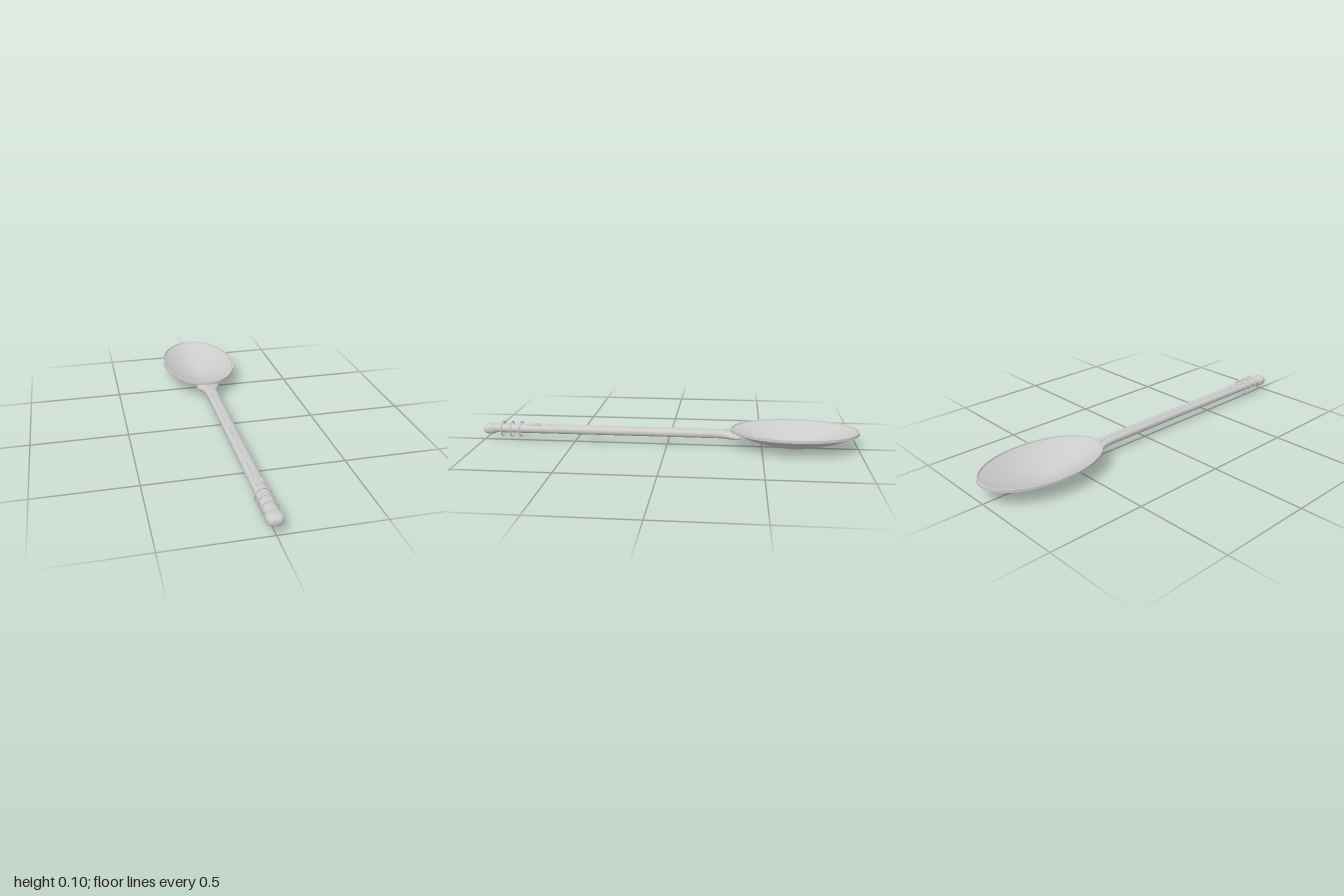
import * as THREE from 'three';
import { toCreasedNormals } from 'three/addons/utils/BufferGeometryUtils.js';

const material = new THREE.MeshStandardMaterial({ color: 0xcccccc });

// Closed body along z from superellipse sections [z, halfWidth, halfHeight, centreY]
function loft(sections, power = 1, sides = 32) {
  const positions = [], index = [];
  const bend = v => Math.sign(v) * Math.abs(v) ** power;
  sections.forEach(([z, rx, ry, cy], i) => {
    for (let j = 0; j < sides; j++) {
      const a = (j / sides) * Math.PI * 2;
      positions.push(rx * bend(Math.cos(a)), cy + ry * bend(Math.sin(a)), z);
      if (i === sections.length - 1) continue;
      const p = i * sides + j, q = i * sides + (j + 1) % sides;
      index.push(p, q, q + sides, p, q + sides, p + sides);
    }
  });
  const geometry = new THREE.BufferGeometry();
  geometry.setAttribute('position', new THREE.Float32BufferAttribute(positions, 3));
  geometry.setIndex(index);
  geometry.computeVertexNormals();
  return geometry;
}

export function createModel() {
  const group = new THREE.Group();
  const add = (name, geometry, x = 0, y = 0, z = 0, parent = group) => {
    const mesh = new THREE.Mesh(geometry, material);
    mesh.name = name;
    mesh.position.set(x, y, z);
    parent.add(mesh);
    return mesh;
  };

  // Oval bowl: outer curve, upright rim, then inner curve
  const profile = [];
  const steps = 20;
  for (let i = 0; i <= steps; i++) {
    const t = i / steps;
    profile.push(new THREE.Vector2(t, 0.086 * t ** 1.7));
  }
  profile.push(new THREE.Vector2(1, 0.1), new THREE.Vector2(0.975, 0.1));
  for (let i = steps; i >= 0; i--) {
    const t = i / steps;
    profile.push(new THREE.Vector2(t * 0.965, 0.013 + 0.08 * t ** 1.7));
  }
  const bowl = new THREE.LatheGeometry(profile, 72);
  bowl.scale(0.207, 1, 0.333);
  add('bowl', toCreasedNormals(bowl, 0.6), 0, 0, -0.667);

  // Oval handle, flaring into a neck under the bowl
  add('handle', loft([
    [-0.392, 0, 0, 0.057],
    [-0.391, 0.055, 0.009, 0.057],
    [-0.38, 0.065, 0.016, 0.059],
    [-0.36, 0.062, 0.019, 0.06],
    [-0.335, 0.051, 0.02, 0.061],
    [-0.31, 0.041, 0.021, 0.063],
    [-0.28, 0.035, 0.022, 0.065],
    [-0.24, 0.033, 0.022, 0.065],
    [0.3, 0.033, 0.022, 0.065],
    [0.94, 0.034, 0.022, 0.064],
    [0.945, 0, 0, 0.064],
  ], 0.85));

  // Fine rib along the top of the handle
  const rib = new THREE.CylinderGeometry(0.003, 0.003, 1.15, 10);
  rib.rotateX(Math.PI / 2);
  add('topRib', rib, -0.012, 0.0855, 0.25);

  // Rounded end knob
  const knob = [];
  for (let i = 0; i <= 14; i++) {
    const a = Math.PI * (i / 14);
    const r = Math.sin(a) ** 0.55;
    knob.push([0.961 - 0.039 * Math.cos(a), 0.041 * r, 0.027 * r, 0.061]);
  }
  add('endKnob', loft(knob, 0.75));

  // Three wire rings round the grip
  for (const z of [0.795, 0.845, 0.895]) {
    add('gripRing', new THREE.TorusGeometry(0.0395, 0.0035, 10, 48), 0, 0.0615, z);
  }

  // Small flower on the handle
  const flower = new THREE.Group();
  flower.name = 'flower';
  flower.position.set(0, 0.088, 0.715);
  group.add(flower);
  const petal = new THREE.SphereGeometry(1, 16, 10);
  petal.scale(0.009, 0.004, 0.013);
  for (let i = 0; i < 6; i++) {
    const a = (i / 6) * Math.PI * 2;
    const mesh = add('petal', petal, Math.sin(a) * 0.017, 0, Math.cos(a) * 0.017, flower);
    mesh.rotation.y = a;
  }
  const heart = new THREE.SphereGeometry(0.008, 16, 10);
  heart.scale(1, 0.8, 1);
  add('flowerCentre', heart, 0, 0.001, 0, flower);

  return group;
}
